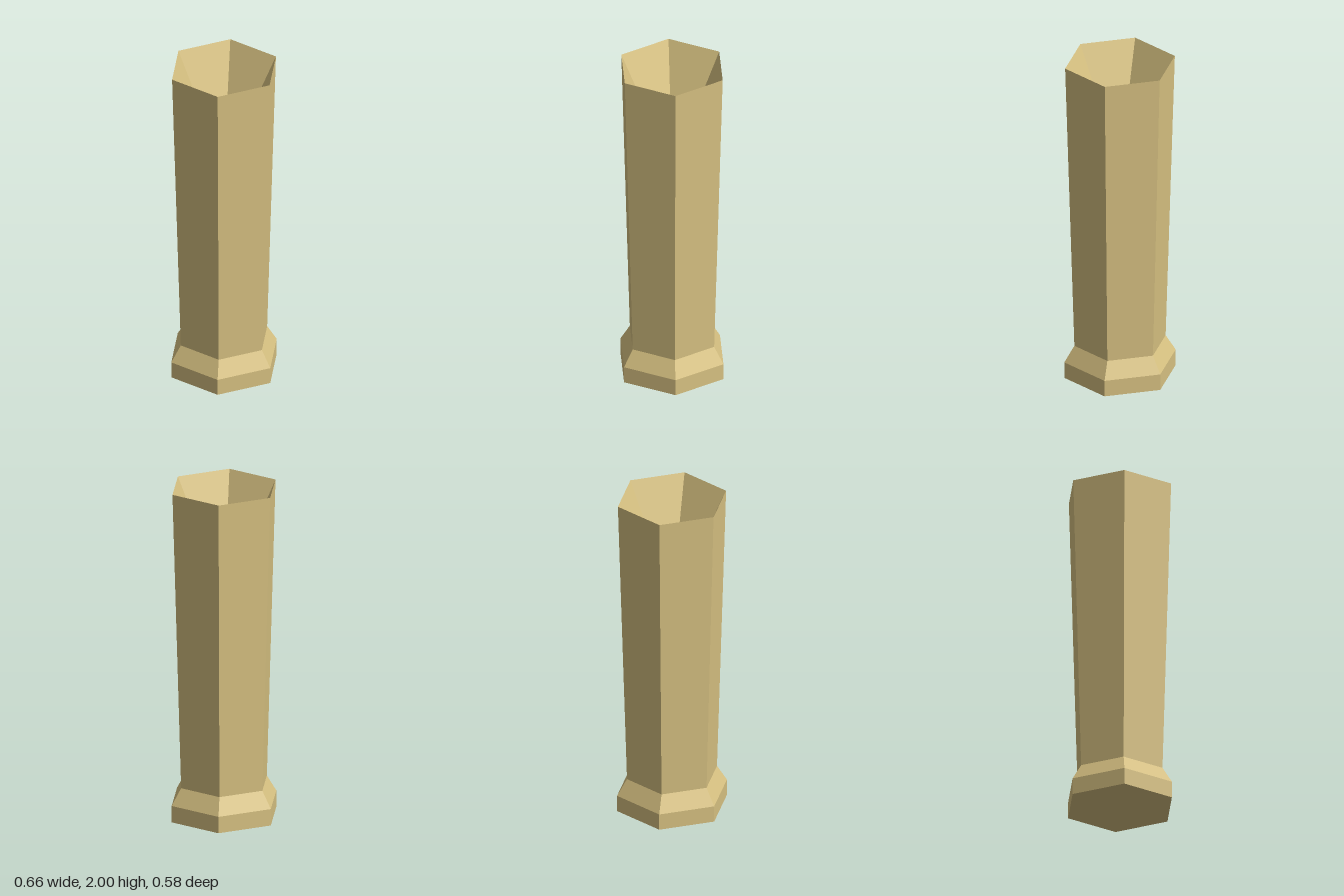
import * as THREE from 'three';

export function createModel() {
  const model = new THREE.Group();
  const material = new THREE.MeshStandardMaterial({ color: 0xd8c282, flatShading: true });

  // Radius and height, from the hollow underside up the outside and down into the mouth
  const profile = [
    [0, 0.1],      // raised centre of the underside
    [0.332, 0],    // foot
    [0.332, 0.1],
    [0.272, 0.2],  // neck above the foot
    [0.327, 2],    // sharp rim
    [0, 1.33],     // bottom of the conical hollow
  ].map(([r, y]) => new THREE.Vector2(r, y));

  // Six-sided body with corners on the x axis
  const vase = new THREE.Mesh(new THREE.LatheGeometry(profile, 6, Math.PI / 2), material);
  vase.name = 'hexagonalVase';
  model.add(vase);

  return model;
}
